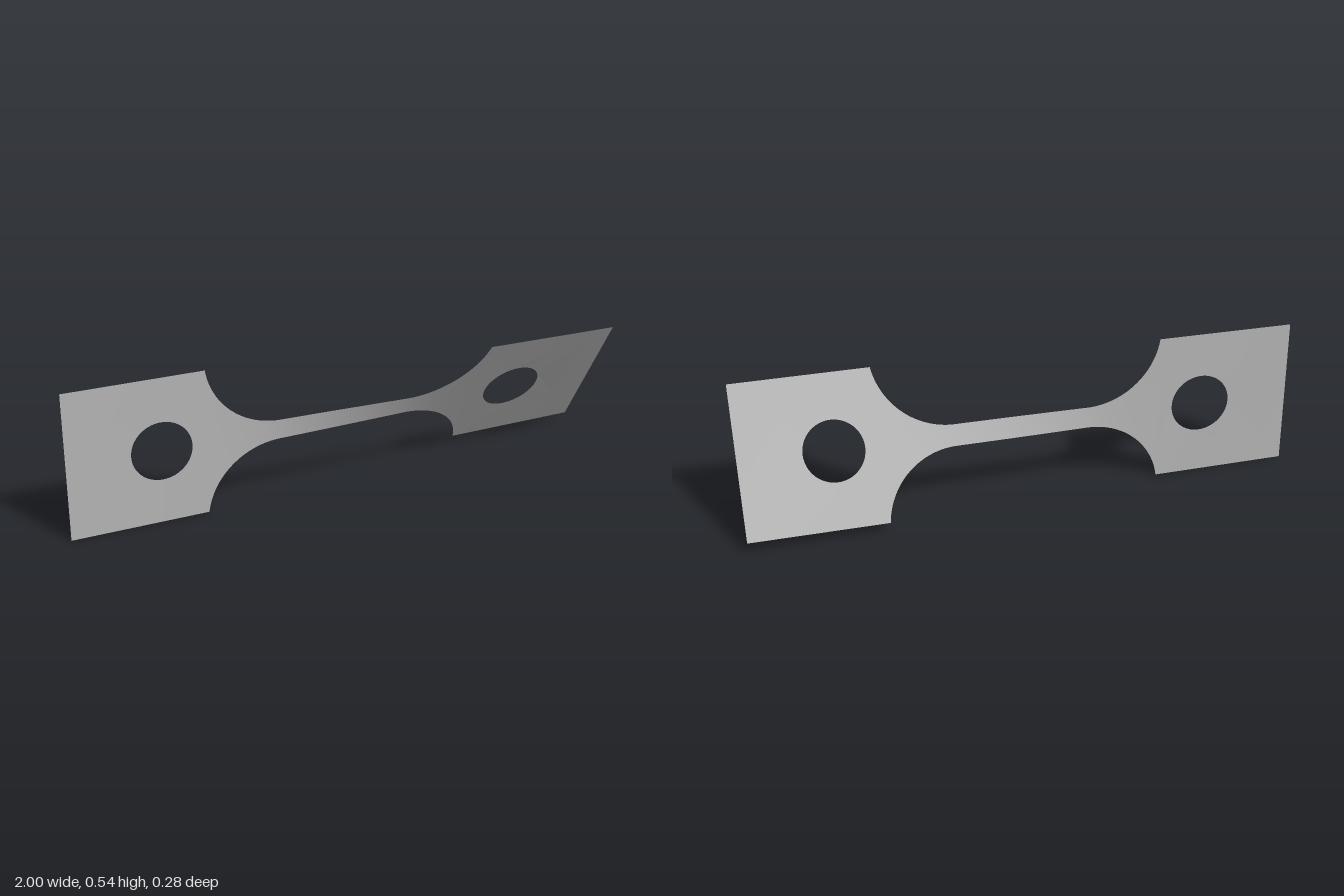
import * as THREE from 'three';

const AXIS_Y = 0.271;      // height of the twist axis
const HALF_TAB = 0.271;    // half height of the end tabs
const HALF_NECK = 0.038;   // half height of the narrow neck
const FILLET_R = 0.27;     // radius of the shoulder arcs
const FILLET_X = 0.24;     // where the shoulder arcs begin
const TWIST = THREE.MathUtils.degToRad(31.5);
const TAB_X = FILLET_X + Math.sqrt(FILLET_R ** 2 - (HALF_NECK + FILLET_R - HALF_TAB) ** 2);

// Half height of the strip at a position along its length
function halfHeight(x) {
  const d = Math.abs(x) - FILLET_X;
  if (d <= 0) return HALF_NECK;
  if (Math.abs(x) >= TAB_X) return HALF_TAB;
  return Math.min(HALF_TAB, HALF_NECK + FILLET_R - Math.sqrt(FILLET_R ** 2 - d * d));
}

// Accumulated twist: the narrow neck turns far more than the wide tabs
const STEPS = 400;
const turned = [0];
for (let i = 0; i < STEPS; i++) {
  turned.push(turned[i] + halfHeight(-1 + (2 * (i + 0.5)) / STEPS) ** -1.4);
}
function twistAt(x) {
  const f = THREE.MathUtils.clamp((x + 1) / 2, 0, 1) * STEPS;
  const i = Math.min(Math.floor(f), STEPS - 1);
  return (TWIST * THREE.MathUtils.lerp(turned[i], turned[i + 1], f - i)) / turned[STEPS];
}

// Turn every vertex of a flat sheet about the long axis
function twist(geometry) {
  const p = geometry.attributes.position;
  for (let i = 0; i < p.count; i++) {
    const x = p.getX(i), v = p.getY(i), a = twistAt(x);
    p.setXYZ(i, x, AXIS_Y + v * Math.cos(a), v * Math.sin(a));
  }
  geometry.computeVertexNormals();
  return geometry;
}

// Rectangular end tab with a round hole
function tabGeometry(side) {
  const x0 = side < 0 ? -1 : TAB_X, x1 = side < 0 ? -TAB_X : 1;
  const shape = new THREE.Shape([
    new THREE.Vector2(x0, -HALF_TAB), new THREE.Vector2(x1, -HALF_TAB),
    new THREE.Vector2(x1, HALF_TAB), new THREE.Vector2(x0, HALF_TAB),
  ]);
  const hole = new THREE.Path();
  hole.absarc(side * 0.668, 0, 0.108, 0, Math.PI * 2, true);
  shape.holes.push(hole);
  return twist(new THREE.ShapeGeometry(shape, 32));
}

// Neck with curved shoulders, columns packed closer towards the ends
function neckGeometry() {
  const geometry = new THREE.PlaneGeometry(2, 2, 120, 12);
  const p = geometry.attributes.position;
  for (let i = 0; i < p.count; i++) {
    const x = TAB_X * Math.sin((p.getX(i) * Math.PI) / 2);
    p.setXY(i, x, p.getY(i) * halfHeight(x));
  }
  return twist(geometry);
}

export function createModel() {
  const metal = new THREE.MeshStandardMaterial({ color: 0xb8b8b8, side: THREE.DoubleSide });
  metal.name = 'grey metal';
  const group = new THREE.Group();
  group.name = 'twistedTestStrip';
  const add = (name, geometry) => {
    const mesh = new THREE.Mesh(geometry, metal);
    mesh.name = name;
    group.add(mesh);
  };
  add('neck', neckGeometry());
  add('rightTab', tabGeometry(-1));
  add('leftTab', tabGeometry(1));
  return group;
}
